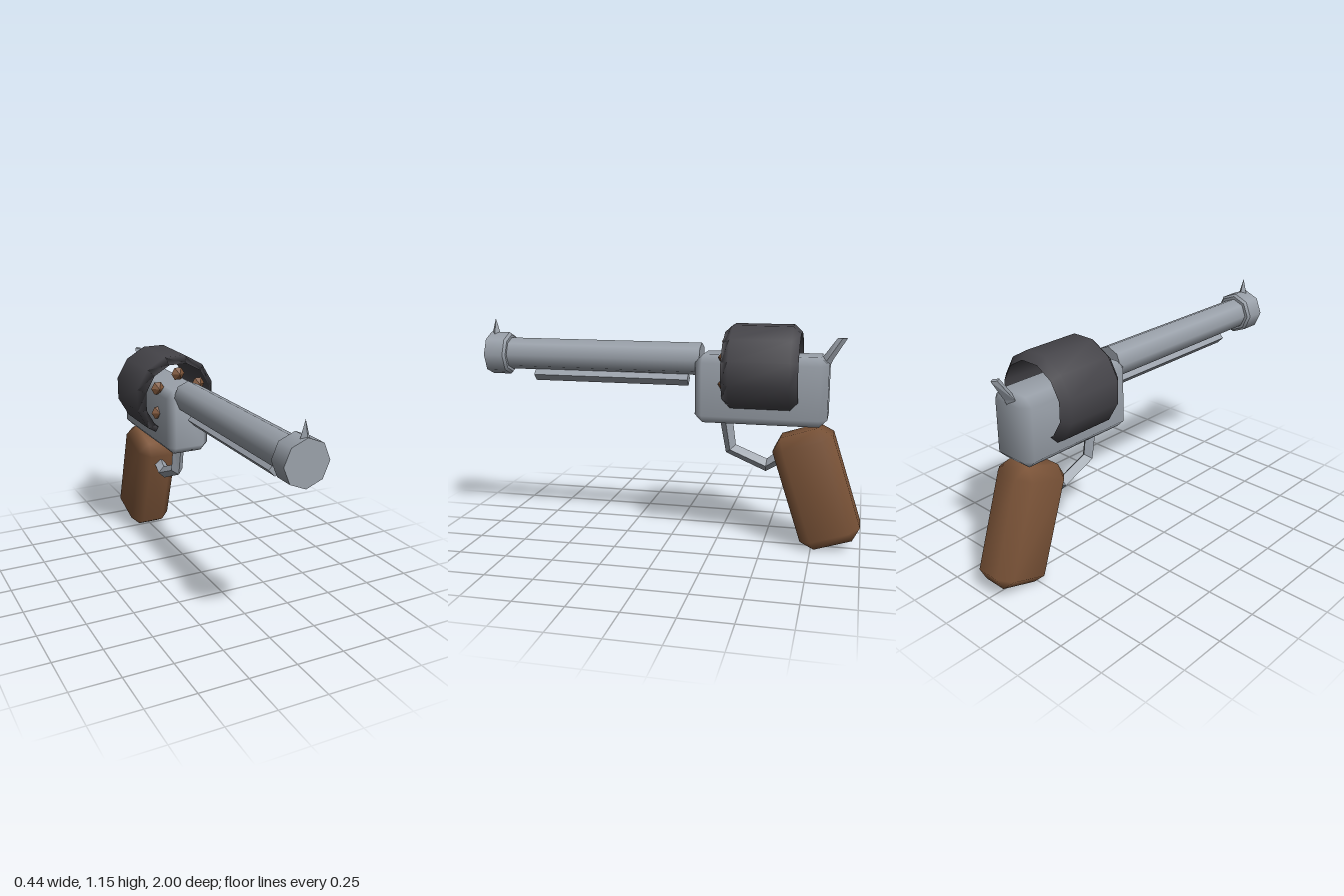
import * as THREE from 'three';
import { ConvexGeometry } from 'three/addons/geometries/ConvexGeometry.js';
import { mergeVertices } from 'three/addons/utils/BufferGeometryUtils.js';

const steel = new THREE.MeshStandardMaterial({ color: 0x9aa1aa });
const flatSteel = new THREE.MeshStandardMaterial({ color: 0x9aa1aa, flatShading: true });
const dark = new THREE.MeshStandardMaterial({ color: 0x454449, side: THREE.DoubleSide });
const brown = new THREE.MeshStandardMaterial({ color: 0x7d5539 });
const flatBrown = new THREE.MeshStandardMaterial({ color: 0x7d5539, flatShading: true });

// Box with one-segment chamfers and softly blended normals
function chamferBox(w, h, d, c) {
  const pts = [];
  for (const x of [-1, 1]) for (const y of [-1, 1]) for (const z of [-1, 1]) {
    for (let axis = 0; axis < 3; axis++) {
      const inset = [c, c, c];
      inset[axis] = 0;
      pts.push(new THREE.Vector3(
        x * (w / 2 - inset[0]), y * (h / 2 - inset[1]), z * (d / 2 - inset[2])));
    }
  }
  const geo = new ConvexGeometry(pts);
  geo.deleteAttribute('normal');
  const merged = mergeVertices(geo, 1e-4);
  merged.computeVertexNormals();
  return merged;
}

// Diamond section swept along a path of [y, z, half width, half depth]
function sweepDiamond(path, level = false) {
  const pos = [], index = [], last = path.length - 1;
  path.forEach(([y, z, rx, rn], i) => {
    const a = path[Math.max(i - 1, 0)], b = path[Math.min(i + 1, last)];
    const dir = level ? new THREE.Vector2(1, 0)
      : new THREE.Vector2(b[0] - a[0], b[1] - a[1]).normalize();
    const ny = dir.y * rn, nz = -dir.x * rn;
    pos.push(rx, y, z, 0, y + ny, z + nz, -rx, y, z, 0, y - ny, z - nz);
    if (i === last) return;
    for (let k = 0; k < 4; k++) {
      const p = i * 4 + k, q = i * 4 + (k + 1) % 4;
      index.push(p, q, p + 4, q, q + 4, p + 4);
    }
  });
  const e = last * 4;
  index.push(0, 2, 1, 0, 3, 2, e, e + 1, e + 2, e, e + 2, e + 3);
  const geo = new THREE.BufferGeometry();
  geo.setAttribute('position', new THREE.Float32BufferAttribute(pos, 3));
  geo.setIndex(index);
  geo.computeVertexNormals();
  return geo;
}

// Cylinder lying along z from z0 (radius r0) to z1 (radius r1)
function rod(r0, r1, z0, z1, y, sides) {
  return new THREE.CylinderGeometry(r1, r0, z1 - z0, sides)
    .rotateX(Math.PI / 2).translate(0, y, (z0 + z1) / 2);
}

export function createModel() {
  const model = new THREE.Group();
  const add = (name, geo, mat) => {
    const mesh = new THREE.Mesh(geo, mat);
    mesh.name = name;
    model.add(mesh);
    return mesh;
  };

  // Barrel, muzzle collar, rod beneath and front sight
  add('barrel', rod(0.084, 0.084, -0.16, 0.9, 0.975, 8), steel);
  add('muzzle', rod(0.113, 0.113, 0.897, 1, 0.975, 8), steel);
  add('muzzleBevel', rod(0.1, 0.113, 0.885, 0.897, 0.975, 8), steel);
  add('ejectorRod', rod(0.035, 0.035, -0.09, 0.75, 0.868, 4), flatSteel);
  add('frontSight', new THREE.ConeGeometry(0.026, 0.09, 4).translate(0, 1.115, 0.973), flatSteel);

  // Frame
  add('frame', chamferBox(0.24, 0.35, 0.67, 0.04), steel).position.set(0, 0.835, -0.475);

  // Open twelve-sided drum shell
  const profile = [[0.193, -0.19], [0.23, -0.15], [0.23, 0.15], [0.193, 0.19], [0.193, -0.19]]
    .map(([r, y]) => new THREE.Vector2(r, y));
  const drum = new THREE.LatheGeometry(profile, 12, Math.PI / 12).rotateX(Math.PI / 2);
  add('drum', drum, dark).position.set(0, 0.935, -0.477);

  // Six cartridges in a circle
  for (let i = 0; i < 6; i++) {
    const a = Math.PI / 6 + i * Math.PI / 3;
    const tip = new THREE.SphereGeometry(0.038, 6, 2).rotateX(Math.PI / 2).scale(1, 1, 0.7);
    add('cartridge', tip, flatBrown)
      .position.set(Math.cos(a) * 0.138, 0.935 + Math.sin(a) * 0.135, -0.29);
  }

  // Hammer and trigger guard
  add('hammer', sweepDiamond([[0.95, -0.775, 0.04, 0.03], [0.99, -0.793, 0.04, 0.03],
    [1.1, -0.866, 0.016, 0.024]], true), flatSteel);
  add('triggerGuard', sweepDiamond([[0.68, -0.29, 0.034, 0.034], [0.51, -0.318, 0.034, 0.034],
    [0.432, -0.505, 0.034, 0.034], [0.49, -0.59, 0.034, 0.034]]), flatSteel);

  // Grip, raked backwards
  const grip = add('grip', chamferBox(0.24, 0.613, 0.317, 0.058), brown);
  grip.position.set(0, 0.332, -0.768);
  grip.rotation.x = Math.PI / 10;

  return model;
}
